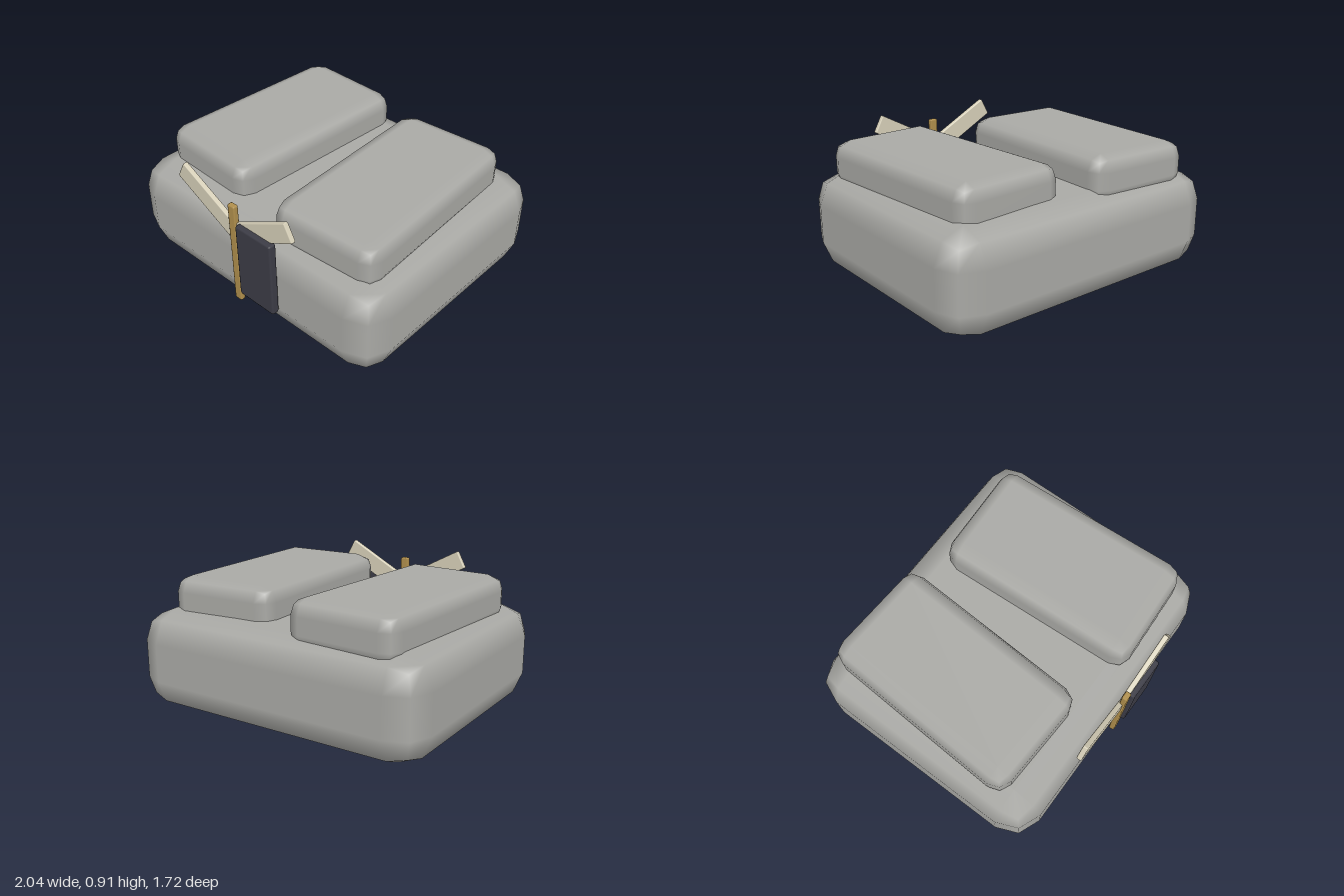
import * as THREE from 'three';
import { RoundedBoxGeometry } from 'three/addons/geometries/RoundedBoxGeometry.js';

// One-segment rounded box whose faces really reach the given size.
// Its outermost points sit at 3/sqrt(11) of the radius, so the size is padded.
function softBox(w, h, d, r) {
  const pad = 2 * r * (1 - 3 / Math.sqrt(11));
  return new RoundedBoxGeometry(w + pad, h + pad, d + pad, 1, r);
}

export function createModel() {
  const group = new THREE.Group();
  const stone = new THREE.MeshStandardMaterial({ name: 'grey stone', color: 0xa9a9a5 });
  const cream = new THREE.MeshStandardMaterial({ name: 'cream', color: 0xd6cfb8 });
  const gold = new THREE.MeshStandardMaterial({ name: 'gold', color: 0xb08f4c });
  const dark = new THREE.MeshStandardMaterial({ name: 'dark slate', color: 0x3c3c46 });

  function add(name, geometry, material, x, y, z) {
    const mesh = new THREE.Mesh(geometry, material);
    mesh.name = name;
    mesh.position.set(x, y, z);
    group.add(mesh);
    return mesh;
  }

  // Large base block
  add('base', softBox(2, 0.61, 1.62, 0.2), stone, 0, 0.305, -0.04);

  // Two slabs on top, splayed towards the front
  for (const [side, name, z] of [[-1, 'rightSlab', -0.1], [1, 'leftSlab', -0.005]]) {
    const slab = add(name, softBox(0.72, 0.29, 1.325, 0.1), stone, side * 0.5, 0.68, z);
    slab.rotation.y = side * 0.05;
  }

  // Upright post in front of the base
  add('post', softBox(0.055, 0.72, 0.035, 0.01), gold, 0, 0.44, 0.81);

  // Pair of arms rising outwards from the post
  for (const [side, name] of [[-1, 'rightArm'], [1, 'leftArm']]) {
    const arm = add(name, softBox(0.54, 0.125, 0.032, 0.008), cream, side * 0.212, 0.708, 0.799);
    arm.rotation.z = side * 0.49;
  }

  // Hanging panel beside the post
  add('panel', softBox(0.285, 0.52, 0.05, 0.015), dark, 0.19, 0.432, 0.822);

  return group;
}
